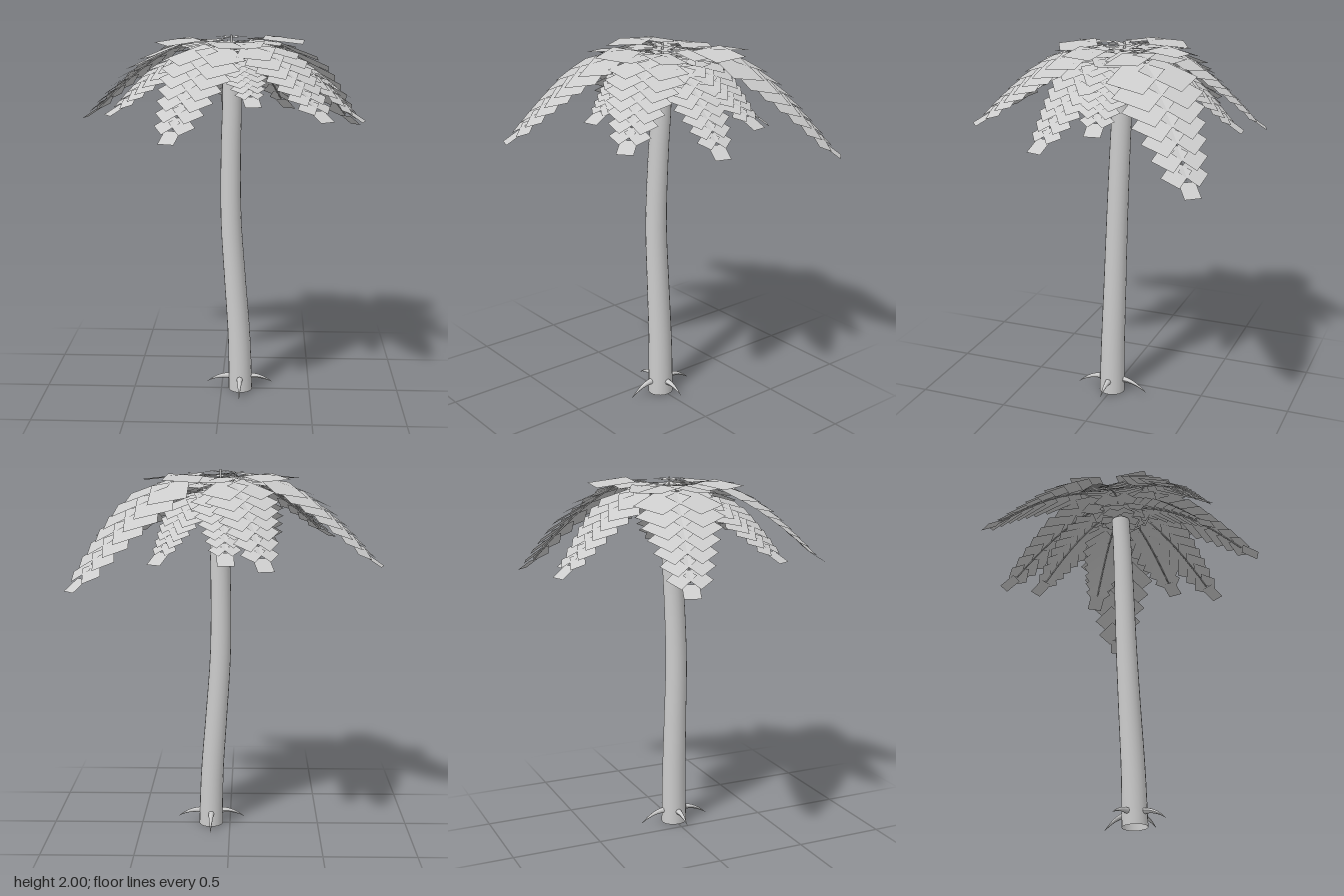
import * as THREE from 'three';
import { mergeGeometries } from 'three/addons/utils/BufferGeometryUtils.js';

const grey = new THREE.MeshStandardMaterial({ color: 0xcccccc, side: THREE.DoubleSide });
grey.name = 'pale grey';

const V = (x, y, z) => new THREE.Vector3(x, y, z);
const CROWN = V(0.05, 1.84, -0.05);

function mesh(name, geometry) {
  const m = new THREE.Mesh(geometry, grey);
  m.name = name;
  return m;
}

// Flat rectangular leaflet growing from a point along dir
function leaflet(at, dir, normal, width, length) {
  const z = dir.clone().normalize();
  const x = normal.clone().cross(z).normalize();
  const y = z.clone().cross(x);
  const g = new THREE.PlaneGeometry(width, length).rotateX(-Math.PI / 2).translate(0, 0, length / 2);
  return g.applyMatrix4(new THREE.Matrix4().makeBasis(x, y, z).setPosition(at));
}

// Tapered, curved trunk, open at the foot
function trunk() {
  const path = new THREE.CatmullRomCurve3([
    V(0.108, 0, 0), V(0.1, 0.3, -0.003), V(0.075, 0.65, -0.006), V(0.052, 1, -0.009),
    V(0.05, 1.4, -0.025), V(0.055, 1.65, -0.04), V(0.05, 1.86, -0.05)]);
  const g = new THREE.CylinderGeometry(1, 1, 1, 20, 20, true);
  const p = g.attributes.position;
  for (let i = 0; i < p.count; i++) {
    const t = p.getY(i) + 0.5, c = path.getPoint(t);
    const r = 0.052 + 0.015 * Math.pow(1 - t, 1.5);
    p.setXYZ(i, c.x + p.getX(i) * r, c.y, c.z + p.getZ(i) * r * (1.08 - 0.08 * t));
  }
  return mesh('trunk', g);
}

// Curved thorn-like root tapering to a point
function root(angle, reach, drop) {
  const path = new THREE.QuadraticBezierCurve3(V(0.04, 0.075, 0), V(0.12, 0.085, 0), V(reach, drop, 0));
  const rings = 8, sides = 8;
  const g = new THREE.TubeGeometry(path, rings, 0.02, sides);
  const p = g.attributes.position;
  for (let i = 0; i < p.count; i++) {
    const t = Math.floor(i / (sides + 1)) / rings;
    const c = path.getPointAt(t);
    const v = V(0, 0, 0).fromBufferAttribute(p, i).sub(c).multiplyScalar(1 - 0.97 * t).add(c);
    p.setXYZ(i, v.x, v.y, v.z);
  }
  g.computeVertexNormals();
  const m = mesh('root', g);
  m.position.set(0.105, 0, 0);
  m.rotation.y = angle;
  return m;
}

// Arching frond: thin stem, paired shingled leaflets and one leaflet at the tip
function frond(tipX, tipY, tipZ, halfWidth, peak) {
  const out = V(tipX - CROWN.x, 0, tipZ - CROWN.z);
  const len = out.length();
  out.normalize();
  const across = V(0, 1, 0).cross(out);
  const points = [];
  for (let i = 0; i <= 8; i++) {
    const t = i / 8;
    const y = t < 0.2
      ? CROWN.y + (peak - CROWN.y) * Math.sin(t / 0.2 * Math.PI / 2)
      : peak - (peak - tipY) * Math.pow((t - 0.2) / 0.8, 1.5);
    points.push(CROWN.clone().addScaledVector(out, t * len).setY(y));
  }
  const path = new THREE.CatmullRomCurve3(points);
  const parts = [];
  const stations = 10;
  for (let i = 0; i < stations; i++) {
    const t = 0.06 + 0.78 * i / (stations - 1);
    const at = path.getPointAt(t), along = path.getTangentAt(t);
    along.y = Math.min(along.y, -0.14);
    along.normalize();
    const up = along.clone().cross(across).normalize();
    along.addScaledVector(up, 0.13).normalize();
    up.copy(along).cross(across).normalize();
    at.addScaledVector(up, 0.006);
    const grow = Math.min(1, 0.4 + t * 2.2);
    const half = halfWidth * grow * (t < 0.4 ? 1 : 1 - 0.5 * (t - 0.4) / 0.44);
    for (const side of [-1, 1]) {
      const dir = along.clone().addScaledVector(across, side).addScaledVector(up, -0.15);
      const normal = up.clone().addScaledVector(across, side * 0.1);
      parts.push(leaflet(at, dir, normal, half * 0.92, half * 1.1));
    }
  }
  // Tip leaflet lies flatter than the stem
  const along = path.getTangentAt(0.9);
  along.y *= 0.65;
  parts.push(leaflet(path.getPointAt(0.91), along, along.clone().cross(across), 0.085, 0.1));
  const group = new THREE.Group();
  group.name = 'frond';
  group.add(mesh('leaflets', mergeGeometries(parts)));
  const stem = new THREE.CatmullRomCurve3(path.getSpacedPoints(20).slice(3, 19));
  group.add(mesh('stem', new THREE.TubeGeometry(stem, 24, 0.004, 5)));
  return group;
}

// Upright young shoot with level stars of small leaves
function shoot() {
  const parts = [];
  for (let k = 0; k < 5; k++) {
    const size = 0.14 - 0.014 * k;
    for (let i = 0; i < 6; i++) {
      const a = i * Math.PI / 3 + k * 0.5;
      parts.push(leaflet(V(CROWN.x, 1.89 + k * 0.024, CROWN.z),
        V(Math.cos(a), 0.05, Math.sin(a)), V(0, 1, 0), size * 0.4, size));
    }
  }
  const group = new THREE.Group();
  group.name = 'youngShoot';
  group.add(mesh('leaves', mergeGeometries(parts)));
  const stem = mesh('shootStem', new THREE.CylinderGeometry(0.006, 0.008, 0.2, 6));
  stem.position.set(CROWN.x, 1.9, CROWN.z);
  group.add(stem);
  return group;
}

export function createModel() {
  const model = new THREE.Group();
  model.name = 'palmTree';
  model.add(trunk());
  for (let i = 0; i < 4; i++) {
    model.add(i % 2 ? root(i * Math.PI / 2, 0.205, 0.015) : root(i * Math.PI / 2, 0.185, 0.04));
  }
  // Tip x, y, z, half width, peak height
  const fronds = [
    [-0.78, 1.5, -0.3, 0.21, 1.975],
    [-0.18, 1.54, -0.74, 0.18, 1.965],
    [0.01, 1.57, -0.65, 0.15, 1.91],
    [0.77, 1.41, -0.66, 0.22, 1.98],
    [0.35, 1.56, -0.49, 0.14, 1.89],
    [0.67, 1.66, -0.13, 0.16, 1.94],
    [0.73, 1.56, 0.14, 0.17, 1.94],
    [0.53, 1.61, 0.56, 0.19, 1.97],
    [0.17, 1.69, 0.47, 0.14, 1.91],
    [-0.23, 1.52, 0.74, 0.2, 1.975],
    [-0.55, 1.61, 0.29, 0.17, 1.93],
  ];
  for (const f of fronds) model.add(frond(...f));
  model.add(shoot());
  return model;
}
